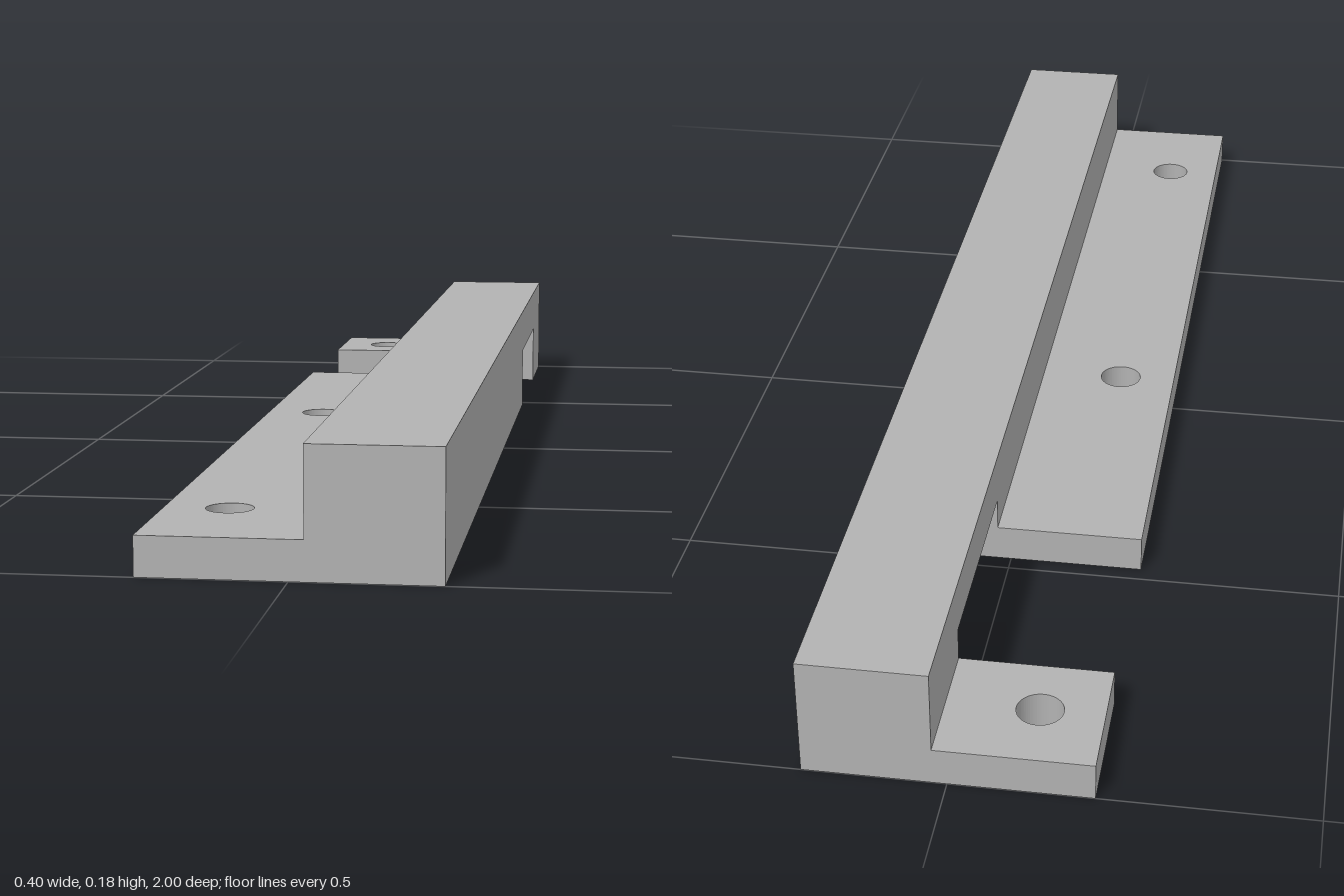
import * as THREE from 'three';

const HALF = 1;                                // half length along z
const X_LEFT = 0.2, X_STEP = 0.02, X_RIGHT = -0.2;
const RAIL_H = 0.178, FLANGE_H = 0.055;
const NOTCH = { back: -0.8, front: -0.475, top: 0.104 };
const HOLE_X = -0.11, HOLE_R = 0.033;

export function createModel() {
  const group = new THREE.Group();
  const grey = new THREE.MeshStandardMaterial({ color: 0xb2b2b2 });
  grey.name = 'plainGrey';

  const add = (name, geometry) => {
    const mesh = new THREE.Mesh(geometry, grey);
    mesh.name = name;
    group.add(mesh);
  };

  // Tall rail: side profile (drawn in -z, y) with a notch underneath
  const profile = new THREE.Shape([
    [-HALF, 0], [-NOTCH.front, 0], [-NOTCH.front, NOTCH.top],
    [-NOTCH.back, NOTCH.top], [-NOTCH.back, 0], [HALF, 0],
    [HALF, RAIL_H], [-HALF, RAIL_H],
  ].map(([u, v]) => new THREE.Vector2(u, v)));
  const rail = new THREE.ExtrudeGeometry(profile, { depth: X_LEFT - X_STEP, bevelEnabled: false });
  rail.rotateY(Math.PI / 2).translate(X_STEP, 0, 0);
  add('rail', rail);

  // Flat mounting flanges: plan outline (drawn in x, -z) with screw holes
  const addFlange = (name, zBack, zFront, holes) => {
    const plan = new THREE.Shape([
      new THREE.Vector2(X_RIGHT, -zFront), new THREE.Vector2(X_STEP, -zFront),
      new THREE.Vector2(X_STEP, -zBack), new THREE.Vector2(X_RIGHT, -zBack),
    ]);
    for (const z of holes) {
      plan.holes.push(new THREE.Path().absarc(HOLE_X, -z, HOLE_R, 0, Math.PI * 2, true));
    }
    const flange = new THREE.ExtrudeGeometry(plan, {
      depth: FLANGE_H, bevelEnabled: false, curveSegments: 32,
    });
    add(name, flange.rotateX(-Math.PI / 2));
  };
  addFlange('longFlange', NOTCH.front, HALF, [0, 0.815]);
  addFlange('shortFlange', -HALF, NOTCH.back, [-0.895]);

  return group;
}
